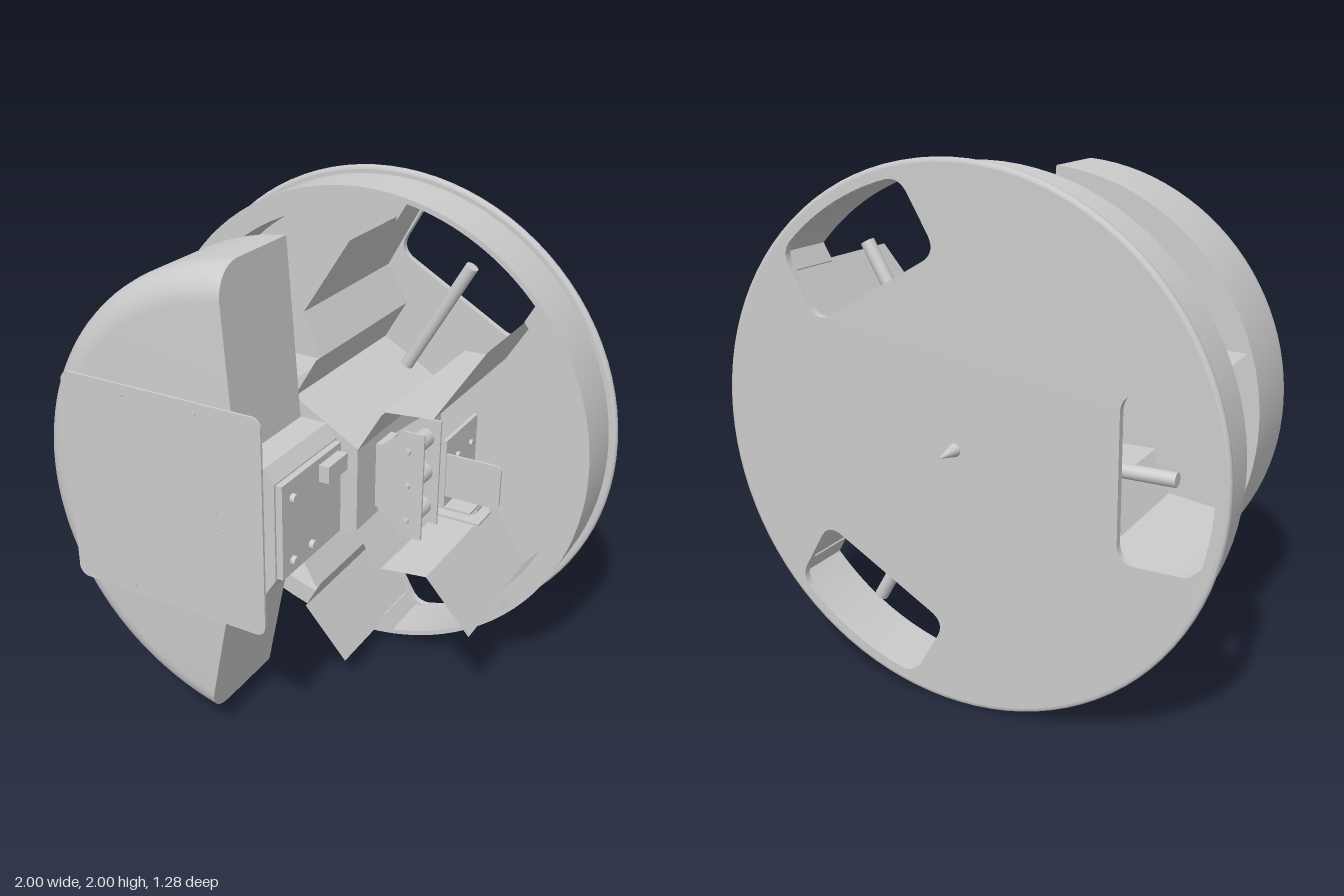
import * as THREE from 'three';
import { toCreasedNormals } from 'three/addons/utils/BufferGeometryUtils.js';

const THIRD = Math.PI * 2 / 3;
const V = (x, y) => new THREE.Vector2(x, y);
const turn = (pts, a) => pts.map(p => p.clone().rotateAround(V(0, 0), a));
const arc = (r, a0, a1, n = 16) => Array.from({ length: n + 1 }, (_, i) => {
  const a = a0 + (a1 - a0) * i / n;
  return V(r * Math.cos(a), r * Math.sin(a));
});

export function createModel() {
  const model = new THREE.Group();
  const root = new THREE.Group();
  root.name = 'assembly';
  root.position.y = 1;
  model.add(root);
  const mat = new THREE.MeshStandardMaterial({ color: 0xcccccc });
  const sheet = new THREE.MeshStandardMaterial({ color: 0xcccccc, side: THREE.DoubleSide });

  const add = (name, geo, x = 0, y = 0, z = 0, m = mat, parent = root) => {
    const mesh = new THREE.Mesh(geo, m);
    mesh.name = name;
    mesh.position.set(x, y, z);
    parent.add(mesh);
    return mesh;
  };
  const slab = (shape, z0, z1) => toCreasedNormals(new THREE.ExtrudeGeometry(shape,
    { depth: z1 - z0, bevelEnabled: false, curveSegments: 48 }).translate(0, 0, z0), 0.5);
  const box = (name, x0, x1, y0, y1, z0, z1) => add(name,
    new THREE.BoxGeometry(x1 - x0, y1 - y0, z1 - z0), (x0 + x1) / 2, (y0 + y1) / 2, (z0 + z1) / 2);
  const roundRect = (x0, x1, y0, y1, r) => {
    const s = new THREE.Shape();
    s.absarc(x1 - r, y1 - r, r, 0, Math.PI / 2);
    s.absarc(x0 + r, y1 - r, r, Math.PI / 2, Math.PI);
    s.absarc(x0 + r, y0 + r, r, Math.PI, Math.PI * 1.5);
    s.absarc(x1 - r, y0 + r, r, Math.PI * 1.5, Math.PI * 2);
    return s;
  };
  // cylinder along z (axis 'z') or x
  const rod = (name, r, len, x, y, z, axis = 'z') => {
    const g = new THREE.CylinderGeometry(r, r, len, 16);
    axis === 'z' ? g.rotateX(Math.PI / 2) : g.rotateZ(-Math.PI / 2);
    return add(name, g, x, y, z);
  };

  // back plate with three rounded windows
  const win = new THREE.Path();
  const a = 0.25, ox = 0.95 * Math.cos(a), oy = 0.95 * Math.sin(a);
  win.moveTo(0.69, -0.295);
  win.lineTo(0.84, -0.295);
  win.quadraticCurveTo(0.905, -0.295, ox, -oy);
  win.absarc(0, 0, 0.95, -a, a);
  win.quadraticCurveTo(0.905, 0.295, 0.84, 0.295);
  win.lineTo(0.69, 0.295);
  win.quadraticCurveTo(0.62, 0.295, 0.62, 0.225);
  win.lineTo(0.62, -0.225);
  win.quadraticCurveTo(0.62, -0.295, 0.69, -0.295);
  const winPts = win.getPoints(10);
  winPts.pop();
  const disc = new THREE.Shape(arc(0.985, 0, Math.PI * 2, 96).slice(0, -1));
  for (let k = 0; k < 3; k++) disc.holes.push(new THREE.Path(turn(winPts, Math.PI / 3 + k * THIRD)));
  add('backPlate', slab(disc, -0.54, -0.512));

  // rounded flange edge
  add('flange', new THREE.LatheGeometry([V(0.98, -0.54), V(0.993, -0.539), V(1, -0.533),
    V(1, -0.519), V(0.993, -0.513), V(0.98, -0.512)], 96).rotateX(Math.PI / 2));

  // deep rim, thinned where the windows pass
  const inner = [];
  for (let k = 0; k < 3; k++) {
    inner.push(...turn(arc(0.88, -THIRD / 2 + 0.348, THIRD / 2 - 0.348, 24), k * THIRD));
    inner.push(...turn(arc(0.95, -0.32, 0.32, 16), Math.PI / 3 + k * THIRD));
  }
  const rim = new THREE.Shape(arc(0.97, 0, Math.PI * 2, 96).slice(0, -1));
  rim.holes.push(new THREE.Path(inner));
  add('rim', slab(rim, -0.513, -0.29));

  // spike behind the plate
  add('spike', new THREE.ConeGeometry(0.025, 0.1, 16).rotateX(-Math.PI / 2), 0, 0, -0.59);

  // bent partition walls: one folded sheet per sector, [x, y, front z]
  const half = [[0.685, 0.575, 0.07], [0.53, 0.32, 0.14], [0.36, 0.32, 0.17], [0.36, 0.32, 0.2], [0.27, 0.165, 0.2]];
  const fold = [...half, ...half.slice().reverse().map(([x, y, z]) => [x, -y, z])];
  const verts = [];
  for (let i = 0; i < fold.length - 1; i++) {
    const [x0, y0, z0] = fold[i], [x1, y1, z1] = fold[i + 1], b = -0.513;
    verts.push(x0, y0, b, x1, y1, b, x1, y1, z1, x0, y0, b, x1, y1, z1, x0, y0, z0);
  }
  const wallGeo = new THREE.BufferGeometry();
  wallGeo.setAttribute('position', new THREE.Float32BufferAttribute(verts, 3));
  wallGeo.computeVertexNormals();
  const hub = [];
  for (let k = 0; k < 3; k++) {
    add('partitionWall', wallGeo, 0, 0, 0, sheet).rotation.z = k * THIRD;
    hub.push(...turn([V(0.268, -0.165), V(0.268, 0.165)], k * THIRD));
    // radial rods
    const ang = Math.PI / 3 + k * THIRD;
    rod('radialRod', 0.026, 0.55, 0.515 * Math.cos(ang), 0.515 * Math.sin(ang), -0.45, 'x').rotation.z = ang;
  }
  add('hub', slab(new THREE.Shape(hub), -0.513, 0.199));

  // half-round housing with a rounded front edge
  const prof = [V(0, 0.2), V(0.91, 0.2), V(0.91, 0.5),
    ...arc(0.12, 0, Math.PI / 2, 8).slice(1).map(p => p.add(V(0.79, 0.5))), V(0, 0.62)];
  const t0 = THREE.MathUtils.degToRad(94.4), t1 = THREE.MathUtils.degToRad(258.7);
  const housing = new THREE.Group();
  housing.name = 'housing';
  housing.position.x = 0.05;
  root.add(housing);
  const shell = new THREE.LatheGeometry(prof, 48, t0 + Math.PI / 2, t1 - t0).rotateX(Math.PI / 2);
  add('housingShell', toCreasedNormals(shell, 0.5), 0, 0, 0, sheet, housing);
  for (const t of [t0, t1]) {
    add('housingEnd', new THREE.ShapeGeometry(new THREE.Shape(prof)).rotateX(Math.PI / 2).rotateZ(t),
      0, 0, 0, sheet, housing);
  }

  // chamfered centre box joined to the housing
  add('centreBox', slab(new THREE.Shape([V(-0.2, -0.25), V(0.14, -0.25), V(0.18, -0.185),
    V(0.18, 0.19), V(0.14, 0.24), V(-0.2, 0.24)]), 0.199, 0.619));
  box('sidePanel', 0.18, 0.205, -0.18, 0.185, 0.21, 0.61);
  box('sideConnector', 0.2, 0.245, 0.095, 0.16, 0.23, 0.365);
  for (const [z, y] of [[0.545, 0.115], [0.545, -0.13], [0.42, -0.13]]) rod('sideScrew', 0.018, 0.025, 0.21, y, z, 'x');

  // square front plate with standoff and screws
  add('frontPlate', slab(roundRect(-0.7, 0.145, -0.42, 0.43, 0.04), 0.63, 0.64));
  box('standoff', -0.09, 0.11, -0.07, 0.07, 0.618, 0.631);
  for (const [x, y] of [[-0.43, 0.39], [-0.12, 0.39], [-0.43, -0.385], [-0.12, -0.385],
    [-0.05, 0.035], [-0.05, -0.035], [0.06, 0]]) rod('plateScrew', 0.007, 0.006, x, y, 0.641);

  // bracket: two chamfered plates held apart by rollers
  const plate = [V(0.29, -0.13), V(0.39, -0.215), V(0.47, -0.215), V(0.47, 0.215), V(0.39, 0.215), V(0.29, 0.13)];
  for (const z of [0.065, -0.075]) add('bracketPlate', slab(new THREE.Shape(plate), z, z + 0.01));
  for (const y of [-0.145, 0, 0.14]) {
    rod('roller', 0.036, 0.14, 0.41, y, 0);
    rod('rollerBolt', 0.012, 0.03, 0.41, y, 0.08);
  }
  const nut = box('squareNut', 0.36, 0.41, -0.025, 0.025, 0.07, 0.085);
  nut.rotation.z = 0.6;
  box('bracketFoot', 0.205, 0.3, -0.13, 0.13, -0.06, 0.06);
  for (const s of [-1, 1]) box('bracketTab', 0.2, 0.25, s * 0.14 - 0.03, s * 0.14 + 0.03, -0.02, 0.1);

  // tongue, mounting board and its screws
  add('tongue', slab(roundRect(0.46, 0.71, -0.09, 0.085, 0.025), -0.085, -0.075));
  box('mountingBoard', 0.48, 0.495, -0.135, 0.14, -0.35, -0.07);
  for (const y of [-0.045, 0.045]) for (const z of [-0.17, -0.29]) rod('boardScrew', 0.012, 0.015, 0.5, y, z, 'x');

  // small lever switch below the board
  box('switchBody', 0.38, 0.5, -0.215, -0.15, -0.27, -0.19);
  box('switchBase', 0.38, 0.6, -0.24, -0.23, -0.29, -0.17);
  box('switchLever', 0.46, 0.59, -0.16, -0.15, -0.26, -0.1);
  rod('switchRoller', 0.02, 0.05, 0.56, -0.19, -0.22);
  return model;
}
